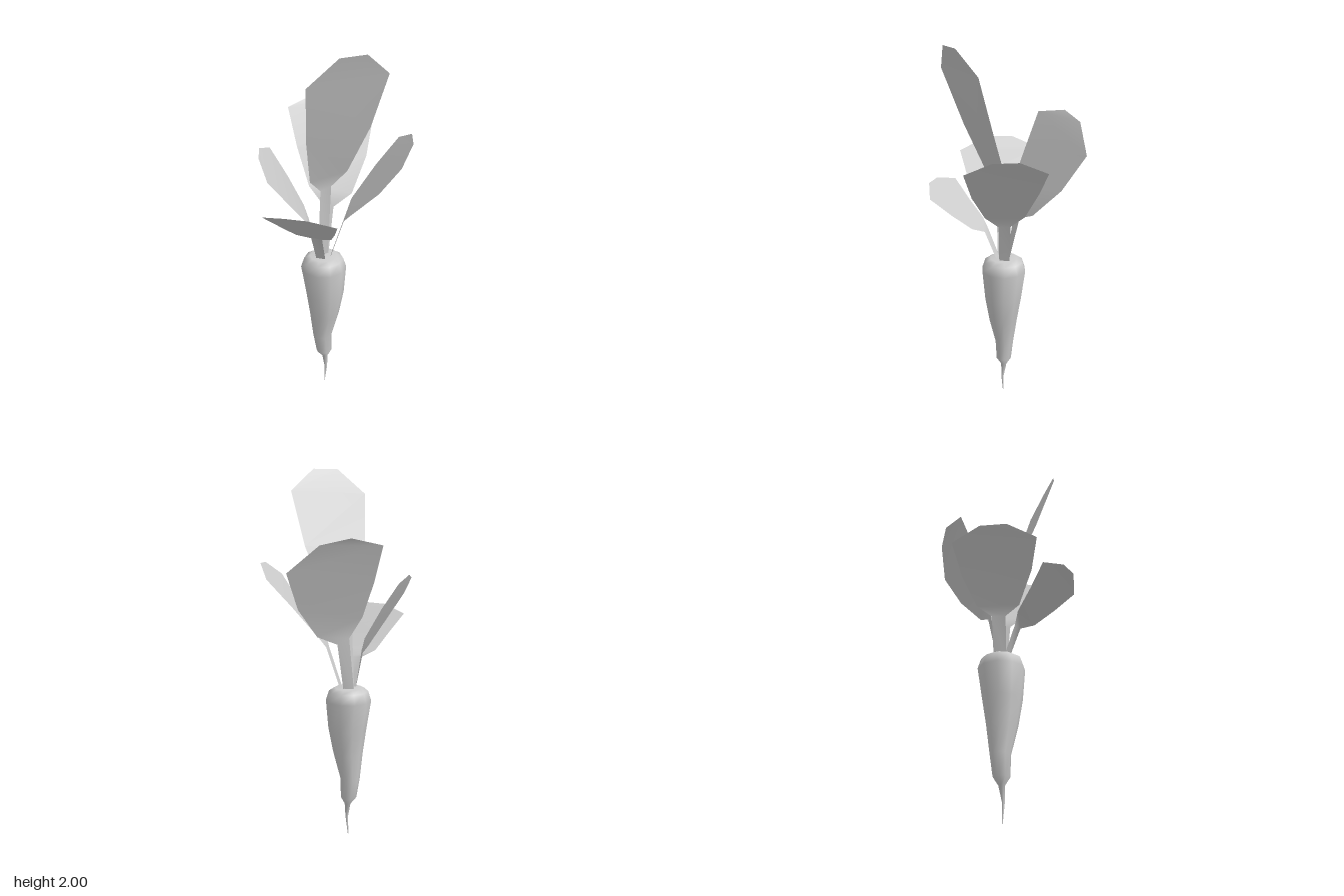
import * as THREE from 'three';

// Builds an indexed smooth surface from points and faces
function surface(points, index, name, side = THREE.FrontSide) {
  const g = new THREE.BufferGeometry();
  g.setAttribute('position', new THREE.Float32BufferAttribute(points.flat(), 3));
  g.setIndex(index);
  g.computeVertexNormals();
  const mesh = new THREE.Mesh(g, new THREE.MeshStandardMaterial({ color: 0xcccccc, side }));
  mesh.name = name;
  return mesh;
}

// Tapering root: ten-sided rings [y, centre x, centre z, radius], from tip to crown
function createRoot() {
  const rings = [
    [0, -0.055, 0.035, 0.002], [0.1, -0.046, 0.036, 0.007], [0.18, -0.053, 0.03, 0.016],
    [0.22, -0.058, 0.032, 0.043], [0.33, -0.067, 0.031, 0.053], [0.48, -0.053, 0.034, 0.081],
    [0.62, -0.049, 0.033, 0.104], [0.78, -0.056, 0.031, 0.123], [0.832, -0.056, 0.031, 0.106],
    [0.85, -0.056, 0.031, 0.075],
  ];
  const sides = 10, points = [], index = [];
  for (const [y, cx, cz, r] of rings) {
    for (let i = 0; i < sides; i++) {
      const a = ((i + 0.5) / sides) * Math.PI * 2;
      points.push([cx + r * Math.cos(a), y, cz + r * Math.sin(a)]);
    }
  }
  for (let k = 0; k < rings.length - 1; k++) {
    for (let i = 0; i < sides; i++) {
      const a = k * sides + i, b = k * sides + ((i + 1) % sides);
      index.push(a, a + sides, b, b, a + sides, b + sides);
    }
  }
  // Close the tip and the crown
  const tip = points.push([-0.055, 0, 0.035]) - 1;
  const crown = points.push([-0.056, 0.845, 0.031]) - 1;
  const top = (rings.length - 1) * sides;
  for (let i = 0; i < sides; i++) {
    const j = (i + 1) % sides;
    index.push(tip, i, j, crown, top + j, top + i);
  }
  return surface(points, index, 'root');
}

// Thin leaf: stem and blade spanned between a left and a right edge, from stem foot to tip
function createLeaf(name, left, right) {
  const points = [], index = [];
  left.forEach((p, i) => points.push(p, right[i]));
  for (let i = 0; i < left.length - 1; i++) {
    const a = i * 2;
    index.push(a, a + 1, a + 2, a + 1, a + 3, a + 2);
  }
  return surface(points, index, name, THREE.DoubleSide);
}

export function createModel() {
  const group = new THREE.Group();
  group.name = 'carrot';
  group.add(createRoot());

  group.add(createLeaf('tallLeaf',
    [[-0.085, 0.83, 0.04], [-0.055, 1.25, 0.075], [-0.09, 1.32, 0.135], [-0.065, 1.58, 0.25], [-0.025, 1.87, 0.35], [0.11, 2, 0.285]],
    [[-0.045, 0.83, -0.005], [-0.015, 1.26, 0.02], [0.06, 1.34, -0.015], [0.185, 1.6, 0.01], [0.28, 1.885, 0.05], [0.21, 2, 0.185]]));

  group.add(createLeaf('leftLeaf',
    [[-0.02, 0.83, 0.045], [0.055, 1.07, 0.025], [0.1, 1.13, 0.085], [0.26, 1.29, 0.1], [0.368, 1.44, 0.103], [0.39, 1.515, -0.045]],
    [[-0.03, 0.83, -0.01], [0.045, 1.075, -0.037], [0.055, 1.14, -0.116], [0.16, 1.31, -0.216], [0.262, 1.45, -0.287], [0.355, 1.52, -0.17]]));

  group.add(createLeaf('backLeaf',
    [[-0.04, 0.83, 0], [-0.03, 1.1, -0.065], [0.045, 1.15, -0.155], [0.08, 1.31, -0.31], [0.083, 1.5, -0.43], [-0.06, 1.63, -0.365]],
    [[-0.09, 0.83, 0.025], [-0.08, 1.13, -0.025], [-0.14, 1.24, 0.01], [-0.22, 1.43, -0.04], [-0.285, 1.62, -0.095], [-0.18, 1.66, -0.26]]));

  group.add(createLeaf('rightLeaf',
    [[-0.1, 0.83, 0.01], [-0.14, 1.05, 0.02], [-0.19, 1.1, -0.04], [-0.29, 1.24, -0.075], [-0.39, 1.39, -0.08], [-0.38, 1.45, 0.08]],
    [[-0.08, 0.83, 0.072], [-0.11, 1.05, 0.085], [-0.1, 1.1, 0.16], [-0.16, 1.25, 0.265], [-0.235, 1.385, 0.335], [-0.33, 1.45, 0.21]]));

  group.add(createLeaf('frontLeaf',
    [[-0.085, 0.83, 0.06], [-0.09, 1, 0.13], [-0.155, 1.035, 0.18], [-0.2, 1.12, 0.275], [-0.255, 1.215, 0.375], [-0.12, 1.255, 0.43]],
    [[-0.035, 0.83, 0.06], [-0.03, 1, 0.13], [0.035, 1.035, 0.18], [0.085, 1.12, 0.275], [0.13, 1.215, 0.375], [0, 1.26, 0.43]]));

  return group;
}
